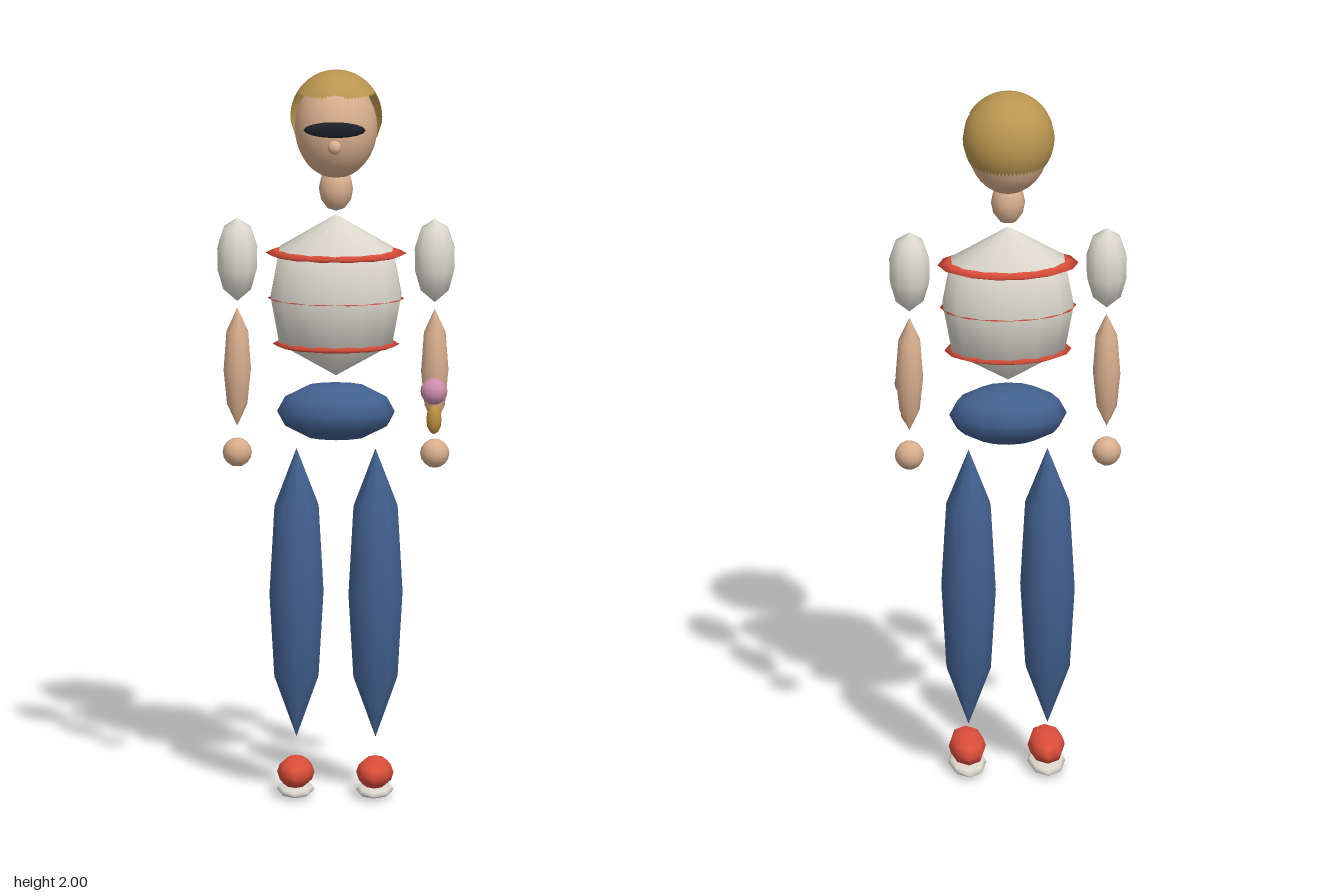
import * as THREE from 'three';

const Z = -0.015; // depth of the body axis

function material(name, color) {
  const m = new THREE.MeshStandardMaterial({ color });
  m.name = name;
  return m;
}

export function createModel() {
  const group = new THREE.Group();
  const skin = material('skin', 0xd8ae8d);
  const hairTone = material('hair', 0xb9954f);
  const red = material('red', 0xdc4e3a);
  const white = material('off white', 0xdcd8cd);
  const blue = material('denim blue', 0x42608f);
  const black = material('black', 0x1e212b);
  const pink = material('pink', 0xcc8dab);
  const gold = material('gold', 0xbd9240);

  const add = (name, geometry, mat, x, y, z) => {
    const mesh = new THREE.Mesh(geometry, mat);
    mesh.name = name;
    mesh.position.set(x, y, z);
    group.add(mesh);
    return mesh;
  };
  // Squashed sphere with the given centre and radii
  const ball = (name, mat, [x, y, z], [rx, ry, rz], w = 12, h = 8) =>
    add(name, new THREE.SphereGeometry(1, w, h).scale(rx, ry, rz), mat, x, y, z);
  // Turned shape: profile of [radius, height] from bottom to top
  const turned = (name, mat, profile, x, depth = 1, sides = 10) => {
    const points = profile.map(([r, y]) => new THREE.Vector2(r, y));
    return add(name, new THREE.LatheGeometry(points, sides).scale(1, 1, depth), mat, x, 0, Z);
  };

  // Head and neck
  ball('head', skin, [0, 1.845, Z], [0.113, 0.14, 0.118], 24, 16);
  ball('neck', skin, [0, 1.675, Z], [0.047, 0.062, 0.047], 12, 6);
  ball('nose', skin, [0, 1.812, 0.11], [0.019, 0.019, 0.019]);
  ball('glasses', black, [0, 1.86, 0.106], [0.085, 0.022, 0.01], 16, 8);

  // Hair: a cap whose lower edge is high at the front and low behind the ears
  const hairGeo = new THREE.SphereGeometry(1, 64, 16);
  const pos = hairGeo.attributes.position;
  const uv = hairGeo.attributes.uv;
  for (let i = 0; i < pos.count; i++) {
    const phi = uv.getX(i) * Math.PI * 2;
    const row = Math.floor(i / 65) / 16;
    const back = THREE.MathUtils.smoothstep(-Math.sin(phi), -0.1, 0.22);
    const theta = row * THREE.MathUtils.lerp(1.04, 2.2, back);
    const s = Math.sin(theta);
    pos.setXYZ(i, -Math.cos(phi) * s * 0.126, Math.cos(theta) * 0.13, Math.sin(phi) * s * 0.124);
  }
  hairGeo.computeVertexNormals();
  const hairMat = hairTone;
  hairMat.side = THREE.DoubleSide;
  add('hair', hairGeo, hairMat, 0, 1.87, -0.035);

  // Shirt with three bands
  turned('torso', white,
    [[0, 1.155], [0.158, 1.245], [0.183, 1.378], [0.158, 1.51], [0, 1.603]], 0, 0.64, 14);
  ball('chestBand', red, [0, 1.495, Z - 0.003], [0.193, 0.018, 0.121], 14, 6);
  ball('middleBand', red, [0, 1.37, Z], [0.187, 0.009, 0.12], 14, 6);
  ball('waistBand', red, [0, 1.243, Z], [0.174, 0.018, 0.112], 14, 6);
  ball('hips', blue, [0, 1.055, Z], [0.161, 0.081, 0.11], 12, 6);

  for (const [side, s] of [['left', 1], ['right', -1]]) {
    // Arms
    turned(side + 'Sleeve', white,
      [[0, 1.36], [0.04, 1.395], [0.056, 1.45], [0.057, 1.51], [0.038, 1.567], [0, 1.592]], s * 0.27);
    turned(side + 'Forearm', skin,
      [[0, 1.013], [0.029, 1.075], [0.039, 1.17], [0.031, 1.275], [0, 1.342]], s * 0.27);
    ball(side + 'Hand', skin, [s * 0.27, 0.94, Z], [0.04, 0.04, 0.04]);
    // Legs
    turned(side + 'Leg', blue,
      [[0, 0.15], [0.063, 0.32], [0.077, 0.55], [0.063, 0.79], [0, 0.952]], s * 0.108);
    // Shoes
    ball(side + 'Shoe', red, [s * 0.108, 0.063, 0.045], [0.051, 0.042, 0.112], 8, 6);
    ball(side + 'Sole', white, [s * 0.108, 0.016, 0.044], [0.052, 0.016, 0.115], 8, 6);
  }

  // Ice cream held in front of the left arm
  ball('scoop', pink, [0.27, 1.125, 0.053], [0.037, 0.037, 0.037]);
  ball('cone', gold, [0.27, 1.047, 0.055], [0.021, 0.041, 0.019], 8, 6);

  return group;
}
